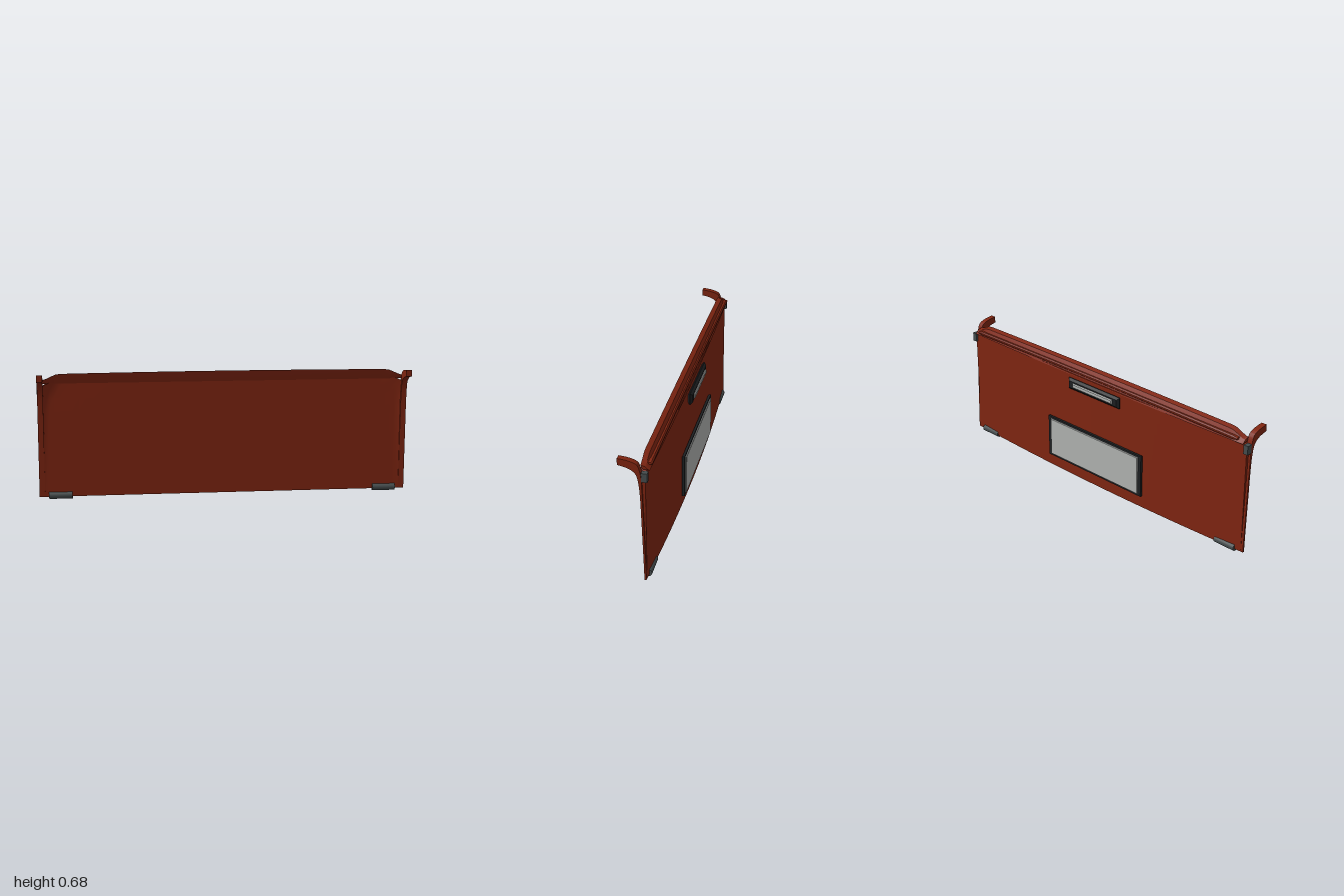
import * as THREE from 'three';
import { toCreasedNormals } from 'three/addons/utils/BufferGeometryUtils.js';

const mat = (name, color) => Object.assign(new THREE.MeshStandardMaterial({ color }), { name });

// Skins rings of [z, y] points (up the front, down the back) placed at each x
function loft(xs, ringAt) {
  const pos = [], idx = [];
  let n = 0;
  for (const x of xs) {
    const ring = ringAt(x);
    n = ring.length;
    for (const [z, y] of ring) pos.push(x, y, z);
  }
  const quad = (a, b, c, d) => idx.push(a, b, c, a, c, d);
  const last = (xs.length - 1) * n;
  for (let i = 0; i < xs.length - 1; i++) {
    for (let k = 0; k < n; k++) {
      const a = i * n + k, b = i * n + (k + 1) % n;
      quad(a, a + n, b + n, b);
    }
  }
  for (let k = 0; k < n / 2 - 1; k++) {
    quad(k, k + 1, n - 2 - k, n - 1 - k);
    quad(last + n - 1 - k, last + n - 2 - k, last + k + 1, last + k);
  }
  const g = new THREE.BufferGeometry();
  g.setAttribute('position', new THREE.Float32BufferAttribute(pos, 3));
  g.setIndex(idx);
  return toCreasedNormals(g, 0.5);
}

// Symmetric list of stations, denser toward the ends
function stations(half, count) {
  return Array.from({ length: count + 1 }, (_, i) =>
    half * Math.sin((i / count - 0.5) * Math.PI));
}

// Rectangular plate with chamfered edges, spanning z0 (back) to z1 (front)
function bevelPlate(w, h, z0, z1, bevel) {
  const x = w / 2 - bevel, y = h / 2 - bevel;
  const s = new THREE.Shape([[-x, -y], [x, -y], [x, y], [-x, y]].map(p => new THREE.Vector2(...p)));
  const g = new THREE.ExtrudeGeometry(s, {
    depth: z1 - z0 - 2 * bevel, bevelThickness: bevel, bevelSize: bevel, bevelSegments: 1,
  });
  return g.translate(0, 0, z0 + bevel);
}

export function createModel() {
  const model = new THREE.Group();
  model.name = 'tailgate';
  const paint = mat('red paint', 0x7f2511);
  const black = mat('black trim', 0x1d2022);
  const steel = mat('dark steel', 0x454c4d);
  const silver = mat('silver', 0xb0b2b0);
  const add = (name, geometry, material, x = 0, y = 0, z = 0) => {
    const m = new THREE.Mesh(geometry, material);
    m.name = name;
    m.position.set(x, y, z);
    model.add(m);
    return m;
  };
  const step = THREE.MathUtils.smoothstep;

  // Main panel: flat inside that swells toward the arms, bowed outside
  const edgeZ = y => -0.027 + 0.012 * (y / 0.5) + 0.016 * step(y, 0.48, 0.64);
  const levels = [0, 0.25, 0.5, 0.75, 0.86, 0.94, 1];
  add('panel', loft(stations(0.985, 48), x => {
    const ax = Math.abs(x);
    const top = 0.63 - 0.02 * step(ax, 0.93, 0.985);
    const back = -0.035 - 0.03 * (1 - x * x);
    const ys = levels.map(t => 0.013 + t * (top - 0.013));
    const front = ys.map(y => {
      const start = 0.95 - 0.07 * Math.max(0, (y - 0.5) / 0.13) ** 2;
      return [THREE.MathUtils.lerp(-0.029, edgeZ(y) - 0.002, step(ax, start, 0.99)), y];
    });
    return [...front, ...ys.map(y => [back, y]).reverse()];
  }), paint);

  // Top lip: bowed spoiler edge, turned down at both ends
  const bow = x => -0.006 * x * x;
  add('topLip', loft(stations(0.972, 48), x => {
    const drop = bow(x) - 0.03 * step(Math.abs(x), 0.88, 0.975);
    const back = 0.012 * x * x;
    return [
      [-0.022, 0.625], [-0.016, 0.652 + drop * 0.6], [-0.01, 0.682 + drop],
      [-0.034, 0.674 + drop], [-0.052 + back * 0.6, 0.648 + drop * 0.6], [-0.065 + back, 0.622],
    ];
  }), paint);

  // Rounded rib along the outside of the lip
  add('lipRib', loft(stations(0.94, 40), x => {
    const t = step(Math.abs(x), 0.91, 0.94);
    const h = 0.01 * (1 - 0.5 * t), c = 0.645 + bow(x);
    return [[-0.03, c - h], [-0.03, c + h], [-0.054, c + h], [-0.06, c + h * 0.3],
      [-0.06, c - h * 0.5], [-0.056, c - h]];
  }), paint);

  // End arms: slim edge strips that sweep forward at the top
  const arm = new THREE.Shape();
  arm.moveTo(-0.036, 0.013);
  arm.lineTo(-0.026, 0.013);
  arm.lineTo(-0.024, 0.1);
  arm.lineTo(-0.015, 0.4);
  arm.bezierCurveTo(-0.011, 0.54, -0.005, 0.6, 0.015, 0.617);
  arm.bezierCurveTo(0.035, 0.637, 0.06, 0.643, 0.095, 0.648);
  arm.lineTo(0.095, 0.683);
  arm.bezierCurveTo(0.05, 0.681, 0.012, 0.672, 0.0, 0.658);
  arm.bezierCurveTo(-0.012, 0.64, -0.018, 0.6, -0.02, 0.56);
  arm.lineTo(-0.028, 0.3);
  const armGeo = toCreasedNormals(new THREE.ExtrudeGeometry(arm, {
    depth: 0.03, bevelEnabled: false, curveSegments: 10,
  }).rotateY(-Math.PI / 2), 0.5);

  for (const [side, s] of [['left', 1], ['right', -1]]) {
    add(side + 'Arm', armGeo, paint, s > 0 ? 0.998 : -0.968);
    // Side latch
    add(side + 'Latch', new THREE.BoxGeometry(0.026, 0.048, 0.03), steel, s * 0.987, 0.594, -0.033);
    // Hinge barrel
    add(side + 'Hinge', new THREE.CylinderGeometry(0.019, 0.019, 0.125, 20).rotateZ(Math.PI / 2),
      steel, s * 0.885, 0.0195, -0.033);
  }

  // Release handle
  add('handleSurround', bevelPlate(0.37, 0.064, -0.088, -0.06, 0.012), black, 0, 0.577, 0);
  add('handleGrip', bevelPlate(0.29, 0.026, -0.095, -0.082, 0.005), silver, 0, 0.577, 0);

  // Rear plate in its frame
  add('plateFrame', new THREE.BoxGeometry(0.69, 0.24, 0.013), black, 0, 0.207, -0.0755);
  add('plate', bevelPlate(0.65, 0.218, -0.088, -0.078, 0.003), silver, 0, 0.207, 0);
  return model;
}
